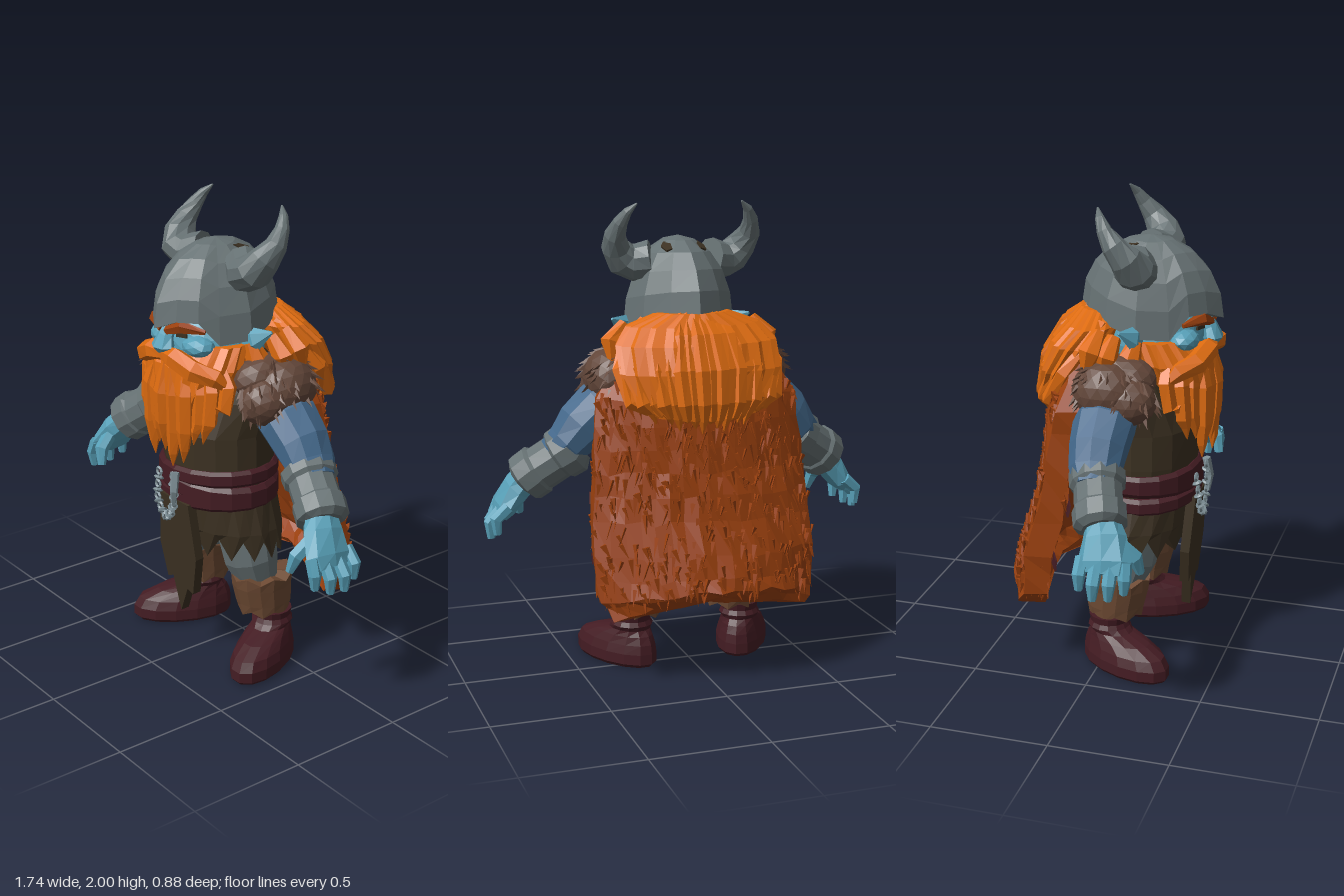
import * as THREE from 'three';
import { mergeGeometries } from 'three/addons/utils/BufferGeometryUtils.js';

const mat = (name, color) => Object.assign(new THREE.MeshStandardMaterial({ color }), { name });
const V = (x, y, z) => new THREE.Vector3(x, y, z);

// Small seeded random generator
let seed = 7;
const rnd = (a = 0, b = 1) => {
  seed = (seed * 16807) % 2147483647;
  return a + (b - a) * seed / 2147483647;
};

// Faceted copy of any geometry
function facet(g) {
  const f = g.index ? g.toNonIndexed() : g;
  f.deleteAttribute('uv');
  f.computeVertexNormals();
  return f;
}

// Closed skin over rings of equal point count, capped at both ends, facing outward
function loft(rings) {
  const n = rings[0].length, tris = [];
  const mid = (r) => r.reduce((s, p) => s.add(p), V(0, 0, 0)).divideScalar(n);
  const c0 = mid(rings[0]), c1 = mid(rings[rings.length - 1]);
  for (let j = 0; j < n; j++) {
    const k = (j + 1) % n;
    for (let i = 0; i < rings.length - 1; i++) {
      const a = rings[i], b = rings[i + 1];
      tris.push([a[j], a[k], b[k]], [a[j], b[k], b[j]]);
    }
    const e = rings[rings.length - 1];
    tris.push([c0, rings[0][k], rings[0][j]], [c1, e[j], e[k]]);
  }
  const vol = tris.reduce((s, [a, b, c]) => s + a.dot(b.clone().cross(c)), 0);
  const pts = tris.flatMap(([a, b, c]) => (vol < 0 ? [a, c, b] : [a, b, c]));
  const g = new THREE.BufferGeometry().setFromPoints(pts);
  g.computeVertexNormals();
  return g;
}

// Horizontal ellipse; ridge pushes every other point outward
function ellipse([y, cz, rx, rz, cx = 0], n = 16, ridge = 0, zig = 0) {
  return Array.from({ length: n }, (_, i) => {
    const a = i / n * Math.PI * 2, k = 1 + ridge * (i % 2);
    return V(cx + rx * k * Math.sin(a), y + zig * (i % 2), cz + rz * k * Math.cos(a));
  });
}
const stack = (rows, n, ridge) => loft(rows.map((r) => ellipse(r, n, ridge)));

// Tapered tube through [x, y, z, radius, depthRadius]
function limb(pts, n = 8) {
  const c = pts.map((p) => V(p[0], p[1], p[2]));
  return loft(pts.map((p, i) => {
    const t = c[Math.min(i + 1, c.length - 1)].clone().sub(c[Math.max(i - 1, 0)]).normalize();
    const u = V(0, 0, 1).cross(t).normalize(), v = t.clone().cross(u);
    return Array.from({ length: n }, (_, j) => {
      const a = j / n * Math.PI * 2;
      return c[i].clone().addScaledVector(u, p[3] * Math.cos(a)).addScaledVector(v, (p[4] ?? p[3]) * Math.sin(a));
    });
  }));
}

// Three-sided tuft of fur
function tuft(pos, dir, len, w) {
  const g = new THREE.ConeGeometry(w, len, 3);
  g.scale(1, 1, 0.6);
  g.applyQuaternion(new THREE.Quaternion().setFromUnitVectors(V(0, 1, 0), dir.normalize()));
  return facet(g.translate(pos.x, pos.y, pos.z));
}

const ball = (x, y, z, rx, ry, rz, d = 2) =>
  facet(new THREE.IcosahedronGeometry(1, d).scale(rx, ry, rz).translate(x, y, z));

// Cape section by height: y, half width, centre z, side z; it hangs slightly twisted
const CAPE = [[0.3, 0.41, -0.37, -0.29], [0.38, 0.465, -0.425, -0.26], [0.56, 0.475, -0.37, -0.24], [0.7, 0.47, -0.32, -0.2],
  [0.95, 0.45, -0.27, -0.15], [1.2, 0.43, -0.255, -0.11], [1.37, 0.34, -0.2, -0.07]];
function capePoint(y, b, inner, lift = 0) {
  let i = 0;
  while (i < CAPE.length - 2 && CAPE[i + 1][0] < y) i++;
  const A = CAPE[i], B = CAPE[i + 1], t = (y - A[0]) / (B[0] - A[0]);
  const [W, zc, zs] = [1, 2, 3].map((k) => A[k] + (B[k] - A[k]) * t);
  const hem = Math.max(0, 0.5 - y) * 0.35 * (1 - b * b);
  return V(W * b * (inner ? 0.96 : 1), y + hem, zc + (zs - zc) * b * b + 0.03 * b + (inner ? 0.11 : 0) + lift);
}

export function createModel() {
  seed = 7;
  const root = new THREE.Group();
  root.name = 'hornedWarrior';
  const iron = mat('iron grey', 0x667173), skin = mat('blue skin', 0x58a0b8), hair = mat('orange hair', 0xdd6b10),
    rust = mat('rust fur', 0x9a400e), fur = mat('brown fur', 0x624639), hide = mat('brown hide', 0x6d4a33),
    cloth = mat('blue cloth', 0x43688b), maroon = mat('maroon leather', 0x441c23), dark = mat('dark tunic', 0x3b3021),
    steel = mat('pale steel', 0x7d8e95);
  const add = (name, geo, material, parent = root) => {
    const m = new THREE.Mesh(Array.isArray(geo) ? mergeGeometries(geo) : geo, material);
    m.name = name;
    parent.add(m);
    return m;
  };

  // Helmet: pointed plan [x, z, brim height], swept up to a crown
  const half = [[0, 0.45, 1.52], [0.08, 0.4, 1.555], [0.15, 0.34, 1.555], [0.2, 0.27, 1.46], [0.245, 0.14, 1.47],
    [0.2, 0, 1.51], [0.11, -0.1, 1.54], [0, -0.16, 1.55]];
  const plan = [...half, ...half.slice(1, -1).reverse().map(([x, z, y]) => [-x, z, y])];
  add('helmet', loft([90, 72, 54, 36, 18, 2].map((deg) => {
    const p = deg * Math.PI / 180;
    return plan.map(([x, z, y]) => V(x * Math.sin(p), y + (1.85 - y) * Math.cos(p), 0.14 + (z - 0.14) * Math.sin(p)));
  })), iron);

  // Head and nose
  add('head', ball(0, 1.42, 0.15, 0.21, 0.2, 0.22), skin);
  add('nose', limb([[0, 1.54, 0.36, 0.025], [0, 1.48, 0.395, 0.04, 0.03], [0, 1.44, 0.41, 0.06, 0.04], [0, 1.41, 0.39, 0.03]], 7), skin);

  // Beard core and long uneven locks [x, tip height]
  add('beard', stack([[1.03, 0.375, 0.06, 0.025], [1.14, 0.345, 0.14, 0.07], [1.26, 0.29, 0.21, 0.13],
    [1.36, 0.25, 0.25, 0.16], [1.45, 0.2, 0.23, 0.13]], 36, 0.06), hair);
  add('beardLocks', [[-0.24, 1.14], [-0.2, 1.04], [-0.15, 1.03], [-0.1, 0.93], [-0.05, 1], [0, 0.98], [0.05, 0.92],
    [0.11, 0.95], [0.16, 1.04], [0.2, 1.05], [0.24, 1.16]].map(([x, tip], i) => {
    const q = x * x, out = (i % 2) * 0.012;
    return limb([[x * 0.85, 1.38, 0.385 - q * 2, 0.028], [x * 1.07, 1.24 + q, 0.405 - q * 2.3 + out, 0.042, 0.036],
      [x * 1.05, (tip + 1.24) / 2, 0.4 - q * 1.9 + out, 0.04, 0.035], [x, tip + 0.06, 0.405 - q * 1.5, 0.022], [x * 0.93, tip, 0.405 - q * 1.4, 0.002]], 5);
  }), hair);

  // Swept-back mane fanning out of the helmet, with heavy strands
  add('mane', stack([[1.14, -0.255, 0.2, 0.04], [1.2, -0.23, 0.28, 0.075], [1.32, -0.175, 0.335, 0.12], [1.43, -0.11, 0.335, 0.14],
    [1.5, -0.06, 0.28, 0.13], [1.55, -0.06, 0.15, 0.09]], 44, 0.06), hair);
  add('maneLocks', Array.from({ length: 17 }, (_, i) => {
    const b = (i - 8) / 8, q = b * b, out = (i % 2) * 0.012;
    return limb([[b * 0.2, 1.54 - q * 0.03, -0.12 + q * 0.11, 0.025], [b * 0.29, 1.46 - q * 0.02, -0.21 + q * 0.16 - out, 0.034],
      [b * 0.34, 1.33, -0.285 + q * 0.15 - out, 0.036], [b * 0.31, 1.2, -0.3 + q * 0.09 - out, 0.034],
      [b * 0.27, 1.13 + q * 0.05, -0.295 + q * 0.07, 0.022], [b * 0.25, 1.07 + q * 0.06 + (i % 3) * 0.02, -0.28 + q * 0.06, 0.003]], 5);
  }), hair);

  // Tunic, wrapped belt and ragged skirt
  add('tunic', stack([[0.68, 0.12, 0.26, 0.2], [0.9, 0.13, 0.265, 0.22], [1.05, 0.13, 0.26, 0.22], [1.2, 0.1, 0.28, 0.19],
    [1.32, 0.07, 0.27, 0.16], [1.4, 0.07, 0.14, 0.11]], 16), dark);
  add('belt', [[0.755, 0.015, 0.035], [0.81, -0.02, 0.045], [0.86, 0.02, 0.035]].map(([y, tilt, h]) =>
    loft([[-h, 0.275, 0.225], [-h * 0.6, 0.288, 0.238], [h * 0.6, 0.288, 0.238], [h, 0.27, 0.222]].map(([dy, rx, rz]) => {
      const r = ellipse([y + dy, 0.13, rx, rz], 18);
      r.forEach((p) => { p.y += p.x / 0.28 * tilt; });
      return r;
    }))), maroon);
  add('skirt', loft([ellipse([0.5, 0.1, 0.31, 0.205], 30, 0, 0.09), ellipse([0.62, 0.11, 0.298, 0.215], 30, 0.03),
    ellipse([0.76, 0.12, 0.27, 0.22], 30)]), dark);
  const flap = new THREE.Shape([[-0.1, 0.55], [-0.13, 0.3], [-0.09, 0.14], [-0.05, 0.16], [-0.01, 0], [0.05, 0.13],
    [0.09, 0.12], [0.13, 0.3], [0.1, 0.55]].map(([x, y]) => new THREE.Vector2(x, y)));
  const front = add('frontFlap', facet(new THREE.ExtrudeGeometry(flap, { depth: 0.04, bevelEnabled: false })), dark);
  front.position.set(0, 0.2, 0.29);
  front.rotation.x = 0.07;

  // Chain and hook on the belt
  const curve = new THREE.CatmullRomCurve3([V(-0.1, 0.84, 0.37), V(-0.09, 0.72, 0.385), V(-0.03, 0.66, 0.385), V(0.02, 0.73, 0.385), V(0.02, 0.86, 0.385)]);
  add('beltChain', Array.from({ length: 19 }, (_, i) => {
    const p = curve.getPoint(i / 18), t = curve.getTangent(i / 18);
    const g = new THREE.TorusGeometry(0.016, 0.007, 4, 8).rotateY(i % 2 ? 1.2 : 0).rotateZ(Math.atan2(t.y, t.x));
    return facet(g.translate(p.x, p.y, p.z));
  }), steel);
  add('beltHook', limb([[0.03, 0.88, 0.38, 0.02], [0.04, 0.8, 0.395, 0.018], [0.03, 0.73, 0.39, 0.01]], 5), steel);

  // Thick fur cape, tufted outside, inside and along the edges
  const bs = Array.from({ length: 17 }, (_, i) => i / 8 - 1);
  const shake = (p) => p.add(V(rnd(-0.008, 0.008), rnd(-0.012, 0.012), rnd(-0.01, 0.01)));
  const capeYs = [0.3, 0.34, 0.38, 0.46, 0.56, 0.7, 0.8, 0.9, 1, 1.1, 1.2, 1.3, 1.37];
  add('cape', loft(capeYs.map((y) => [...bs.map((b) => shake(capePoint(y, b, false))),
    ...[...bs].reverse().map((b) => shake(capePoint(y, b, true)))])), rust);
  const capeTufts = [];
  for (let i = 0; i < 520; i++) {
    capeTufts.push(tuft(capePoint(rnd(0.34, 1.25), rnd(-1, 1), false, -0.002), V(rnd(-0.5, 0.5), -1, -0.18), rnd(0.05, 0.09), rnd(0.012, 0.02)));
  }
  for (let i = 0; i < 320; i++) {
    const s = i % 2 ? 1 : -1, y = rnd(0.36, 1.15);
    capeTufts.push(tuft(capePoint(y, s * rnd(0.55, 1), true, 0.002), V(rnd(-0.5, 0.5), -1, 0.12), rnd(0.05, 0.08), 0.015));
    capeTufts.push(tuft(capePoint(y, s * 0.985, true, -rnd(0, 0.11)), V(s * 0.25, -1, rnd(-0.3, 0.3)), rnd(0.05, 0.08), 0.015));
  }
  add('capeTufts', capeTufts, rust);

  for (const s of [1, -1]) {
    const side = new THREE.Group();
    side.name = s > 0 ? 'leftSide' : 'rightSide';
    root.add(side);
    const put = (name, geo, m) => add(name, geo, m, side);
    const tube = (rows, n) => limb(rows.map(([x, ...r]) => [s * x, ...r]), n);

    // Horn and the patch beside its base
    put('horn', tube([[0.13, 1.755, 0.1, 0.085], [0.2, 1.74, 0.13, 0.08, 0.09], [0.25, 1.76, 0.135, 0.075, 0.085], [0.285, 1.81, 0.11, 0.06, 0.07],
      [0.3, 1.865, 0.065, 0.045, 0.05], [0.288, 1.92, 0.025, 0.032], [0.265, 1.965, 0, 0.02], [0.23, 2, -0.02, 0.004]], 10), iron);
    const patch = put('helmetPatch', facet(new THREE.CylinderGeometry(0.035, 0.035, 0.008, 5)), dark);
    patch.position.set(s * 0.075, 1.81, 0.06);
    patch.scale.set(0.65, 1, 1.4);
    patch.rotation.set(-0.3, 0, -s * 0.32);

    // Ear, cheek, brow, eye, moustache and side hair
    put('ear', tube([[0.18, 1.45, 0.13, 0.04], [0.25, 1.475, 0.13, 0.05, 0.03], [0.31, 1.51, 0.09, 0.006]], 6), skin);
    put('cheek', ball(s * 0.11, 1.445, 0.31, 0.08, 0.045, 0.065, 1), skin);
    put('brow', tube([[0.015, 1.505, 0.4, 0.018], [0.09, 1.535, 0.38, 0.028], [0.17, 1.52, 0.32, 0.01]], 5), rust);
    const eye = put('eye', facet(new THREE.BoxGeometry(0.05, 0.016, 0.008)), dark);
    eye.position.set(s * 0.08, 1.495, 0.372);
    eye.rotation.y = s * 0.4;
    put('moustache', tube([[0, 1.405, 0.4, 0.03], [0.07, 1.405, 0.405, 0.045], [0.16, 1.365, 0.375, 0.048], [0.23, 1.34, 0.31, 0.042],
      [0.28, 1.28, 0.26, 0.004]], 6), hair);
    put('sideLocks', [[0.23, 1.46, 0.14, 0.22], [0.27, 1.48, 0.06, 0.32], [0.28, 1.5, 0, 0.35]].map(([x, y, z, out]) =>
      tube([[x, y, z, 0.03], [(x + out) / 2 + 0.03, y - 0.07, z - 0.02, 0.05], [out, y - 0.19, z - 0.05, 0.004]], 6)), hair);

    // Fur shoulder mantle, lower at the front
    const lumps = [[0.34, 1.27, 0.04, 0.11, 0.125, 0.14], [0.33, 1.235, 0.13, 0.105, 0.105, 0.125], [0.27, 1.31, 0.08, 0.1, 0.1, 0.16]];
    put('shoulderFur', lumps.map(([x, ...r]) => ball(s * x, ...r)), fur);
    put('shoulderTufts', Array.from({ length: 90 }, (_, i) => {
      const [x, y, z, rx, ry, rz] = lumps[i % 2], d = V(s * rnd(-0.4, 1), rnd(-0.8, 1), rnd(-1, 1)).normalize();
      return tuft(V(s * x + d.x * rx, y + d.y * ry, z + d.z * rz), d.clone().add(V(s * 0.5, -0.9, 0)), rnd(0.06, 0.09), 0.022);
    }), fur);

    // Arm: sleeve, flared bracer, hand
    put('sleeve', tube([[0.27, 1.2, 0.05, 0.12], [0.38, 1.14, 0.05, 0.125, 0.13], [0.46, 1.065, 0.05, 0.12, 0.12], [0.52, 1, 0.055, 0.095, 0.11],
      [0.57, 0.95, 0.07, 0.085]], 10), cloth);
    put('bracer', tube([[0.49, 0.99, 0.06, 0.09], [0.505, 0.975, 0.06, 0.118], [0.55, 0.945, 0.075, 0.115], [0.56, 0.935, 0.08, 0.1],
      [0.63, 0.885, 0.105, 0.1], [0.64, 0.88, 0.11, 0.112], [0.69, 0.84, 0.13, 0.11], [0.7, 0.83, 0.135, 0.08]], 11), iron);
    put('palm', tube([[0.67, 0.86, 0.13, 0.065], [0.72, 0.8, 0.155, 0.065, 0.09], [0.775, 0.72, 0.17, 0.05, 0.11], [0.8, 0.68, 0.17, 0.03, 0.1]], 8), skin);
    put('fingers', [[0.08, 0.03, 0.01], [0.14, 0, 0.025], [0.2, 0, 0.01], [0.255, 0.02, -0.02]].map(([z, dy, dx]) =>
      tube([[0.775, 0.73, z, 0.029], [0.82 + dx, 0.65 + dy, z * 1.02, 0.028], [0.815 + dx, 0.585 + dy, z, 0.017]], 6)), skin);
    put('thumb', tube([[0.72, 0.79, 0.2, 0.032], [0.7, 0.72, 0.275, 0.032], [0.68, 0.65, 0.29, 0.018]], 6), skin);

    // Leg: trousers, cuff, boot turned outward
    put('trouserLeg', tube([[0.12, 0.74, 0.12, 0.12], [0.165, 0.6, 0.11, 0.13], [0.19, 0.47, 0.1, 0.12], [0.21, 0.33, 0.07, 0.08]], 10), iron);
    put('legCuff', loft([[0.215, 0.05, 0.11, 0.115, 0.025], [0.27, 0.05, 0.115, 0.125, 0], [0.35, 0.06, 0.122, 0.135, 0], [0.385, 0.06, 0.13, 0.14, 0.025]]
      .map(([y, cz, rx, rz, zig]) => ellipse([y, cz, rx, rz, s * 0.215], 14, 0, zig))), hide);
    const boot = put('boot', stack([[0, 0.1, 0.1, 0.21], [0.015, 0.1, 0.112, 0.225], [0.06, 0.1, 0.112, 0.225], [0.1, 0.09, 0.102, 0.21],
      [0.135, 0.055, 0.09, 0.16], [0.16, 0.015, 0.08, 0.1], [0.18, 0, 0.09, 0.092], [0.2, 0, 0.08, 0.082], [0.23, 0, 0.085, 0.088]], 14), maroon);
    boot.position.set(s * 0.25, 0, 0.03);
    boot.rotation.y = s * 0.46;

    // Straps lying on the inside of the cape edges
    put('capeStraps', [[0.52, 0.74], [0.77, 0.62]].map(([y, b0]) => loft([y - 0.025, y + 0.025].map((h) => {
      const at = [0, 0.25, 0.5, 0.75, 1].map((t) => b0 + (1.01 - b0) * t);
      return [...at.map((b) => capePoint(h, s * b, true, 0.026)), ...at.reverse().map((b) => capePoint(h, s * b, true, 0.018))];
    }))), maroon);
  }
  return root;
}
